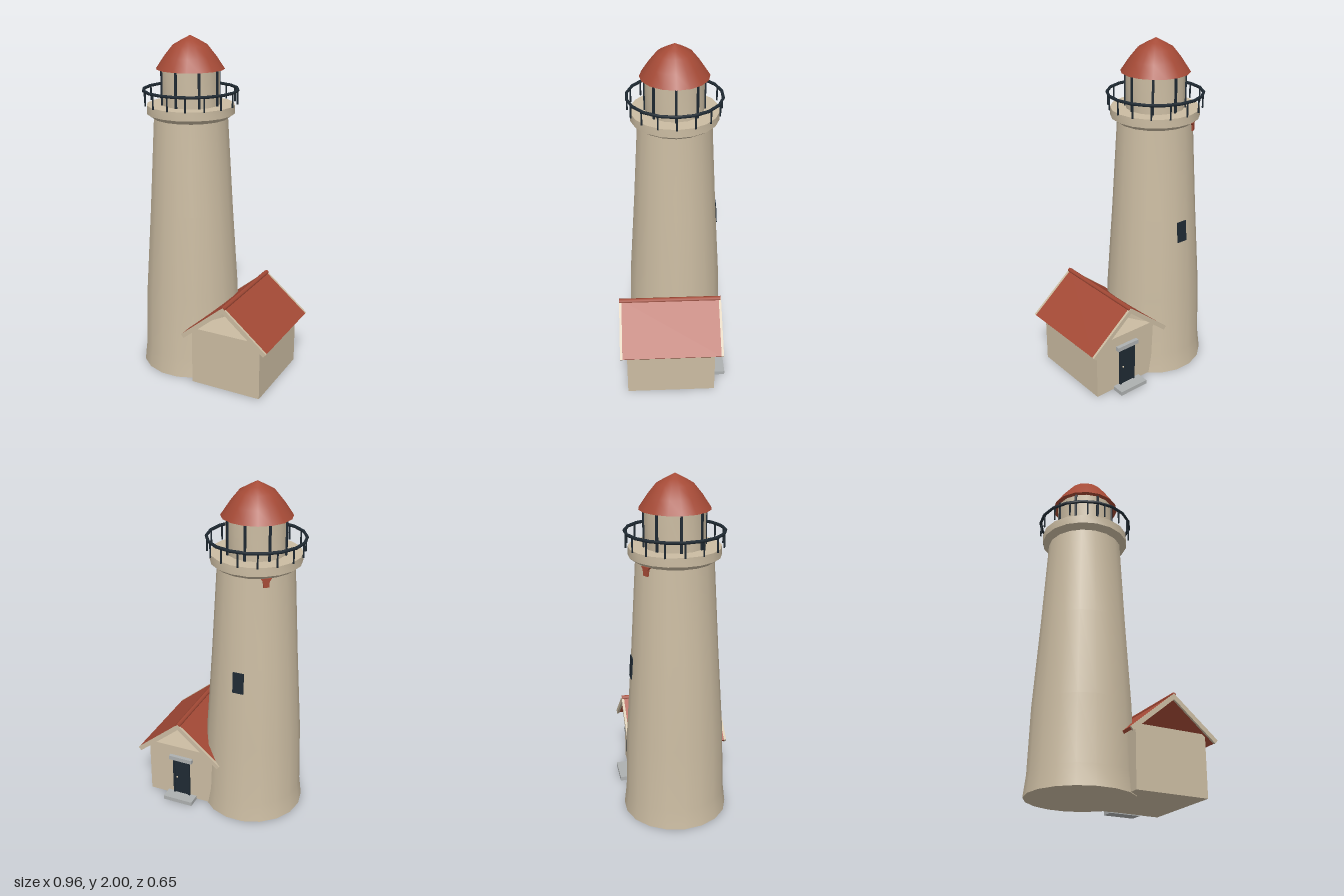
import * as THREE from 'three';
import { toCreasedNormals } from 'three/addons/utils/BufferGeometryUtils.js';

const mat = (name, color) => {
  const m = new THREE.MeshStandardMaterial({ color });
  m.name = name;
  return m;
};

export function createModel() {
  const plaster = mat('warm plaster', 0xcbbca2);
  const red = mat('roof red', 0xa54a36);
  const dark = mat('dark iron', 0x1f2a33);
  const stone = mat('grey stone', 0xadb0b0);

  const model = new THREE.Group();
  model.name = 'lighthouse';

  const add = (parent, name, geometry, material, x = 0, y = 0, z = 0) => {
    const mesh = new THREE.Mesh(geometry, material);
    mesh.name = name;
    mesh.position.set(x, y, z);
    parent.add(mesh);
    return mesh;
  };
  const box = (parent, name, material, w, h, d, x, y, z) =>
    add(parent, name, new THREE.BoxGeometry(w, h, d), material, x, y, z);
  // turned part, smooth around with crisp rims; profile runs bottom to top
  const turned = (parent, name, material, sides, profile) => {
    const points = profile.map(([r, y]) => new THREE.Vector2(r, y));
    const lathe = new THREE.LatheGeometry(points, sides, Math.PI / 2);
    return add(parent, name, toCreasedNormals(lathe, 0.45), material);
  };

  // ---- Tower ----
  const tower = new THREE.Group();
  tower.name = 'tower';
  tower.position.set(-0.175, 0, -0.025);
  model.add(tower);

  turned(tower, 'towerShaft', plaster, 18,
    [[0, 0], [0.305, 0], [0.291, 0.12], [0.28, 0.5], [0.247, 1], [0.216, 1.54], [0, 1.54]]);
  turned(tower, 'galleryDeck', plaster, 18,
    [[0, 1.535], [0.22, 1.535], [0.255, 1.56], [0.255, 1.61], [0, 1.61]]);
  turned(tower, 'lanternRoom', plaster, 16,
    [[0.168, 1.605], [0.168, 1.82]]);
  turned(tower, 'lanternRoof', red, 16,
    [[0, 1.813], [0.197, 1.813], [0.15, 1.883], [0.1, 1.945], [0.05, 1.974], [0, 2]]);

  // lantern glazing bars
  for (let i = 0; i < 8; i++) {
    const a = i * Math.PI / 4;
    const bar = box(tower, 'lanternBar', dark, 0.013, 0.205, 0.013,
      Math.sin(a) * 0.169, 1.712, Math.cos(a) * 0.169);
    bar.rotation.y = a;
  }

  // gallery railing
  const rail = new THREE.TorusGeometry(0.272, 0.009, 6, 18);
  rail.rotateX(Math.PI / 2);
  add(tower, 'galleryRail', rail, dark, 0, 1.694, 0);
  for (let i = 0; i < 16; i++) {
    const a = i * Math.PI / 8;
    add(tower, 'railPost', new THREE.CylinderGeometry(0.005, 0.005, 0.085, 6), dark,
      Math.sin(a) * 0.268, 1.652, Math.cos(a) * 0.268);
  }

  // narrow window on the back, leaning with the wall
  const pane = box(tower, 'towerWindow', dark, 0.065, 0.125, 0.009, 0, 0.915, -0.2505);
  pane.rotation.x = 0.064;

  // small tapered bracket under the gallery
  const bracketShape = new THREE.Shape([[-0.03, 0.05], [-0.018, 0.035], [-0.016, 0],
    [0.016, 0], [0.018, 0.035], [0.03, 0.05]].map(([x, y]) => new THREE.Vector2(x, y)));
  const bracket = add(tower, 'galleryBracket',
    new THREE.ExtrudeGeometry(bracketShape, { depth: 0.02, bevelEnabled: false }), red,
    -0.207 * Math.sin(0.61), 1.487, -0.207 * Math.cos(0.61));
  bracket.rotation.y = Math.PI + 0.61;

  // ---- Keeper's cottage ----
  const house = new THREE.Group();
  house.name = 'cottage';
  house.position.set(0.21, 0, 0.02);
  model.add(house);

  box(house, 'cottageWalls', plaster, 0.435, 0.353, 0.525, -0.002, 0.1815, 0.002);

  // two roof slopes with pale boards along the gable ends
  const slope = Math.atan2(0.225, 0.27);
  for (const s of [-1, 1]) {
    const side = new THREE.Group();
    side.name = s < 0 ? 'rightRoofSlope' : 'leftRoofSlope';
    side.position.set(s * 0.129, 0.427, 0);
    side.rotation.z = -s * slope;
    house.add(side);
    box(side, 'roofSlab', red, 0.352, 0.018, 0.584, 0, 0, 0);
    for (const z of [-0.299, 0.297]) {
      box(side, 'gableBoard', plaster, 0.352, 0.026, 0.014, 0, -0.003, z);
    }
  }
  const cap = new THREE.CylinderGeometry(0.015, 0.015, 0.606, 6);
  cap.rotateX(Math.PI / 2);
  add(house, 'ridgeCap', cap, red, 0, 0.54, 0);

  // back door with frame, lintel and step
  box(house, 'door', dark, 0.088, 0.24, 0.008, 0, 0.145, -0.264);
  for (const s of [-1, 1]) {
    box(house, 'doorFrame', dark, 0.012, 0.245, 0.016, s * 0.049, 0.147, -0.266);
  }
  box(house, 'doorLintel', stone, 0.15, 0.026, 0.026, 0, 0.283, -0.271);
  box(house, 'doorStep', stone, 0.19, 0.025, 0.08, 0, 0.0125, -0.296);
  add(house, 'doorKnob', new THREE.SphereGeometry(0.006, 8, 6), plaster, 0.03, 0.14, -0.27);

  return model;
}
